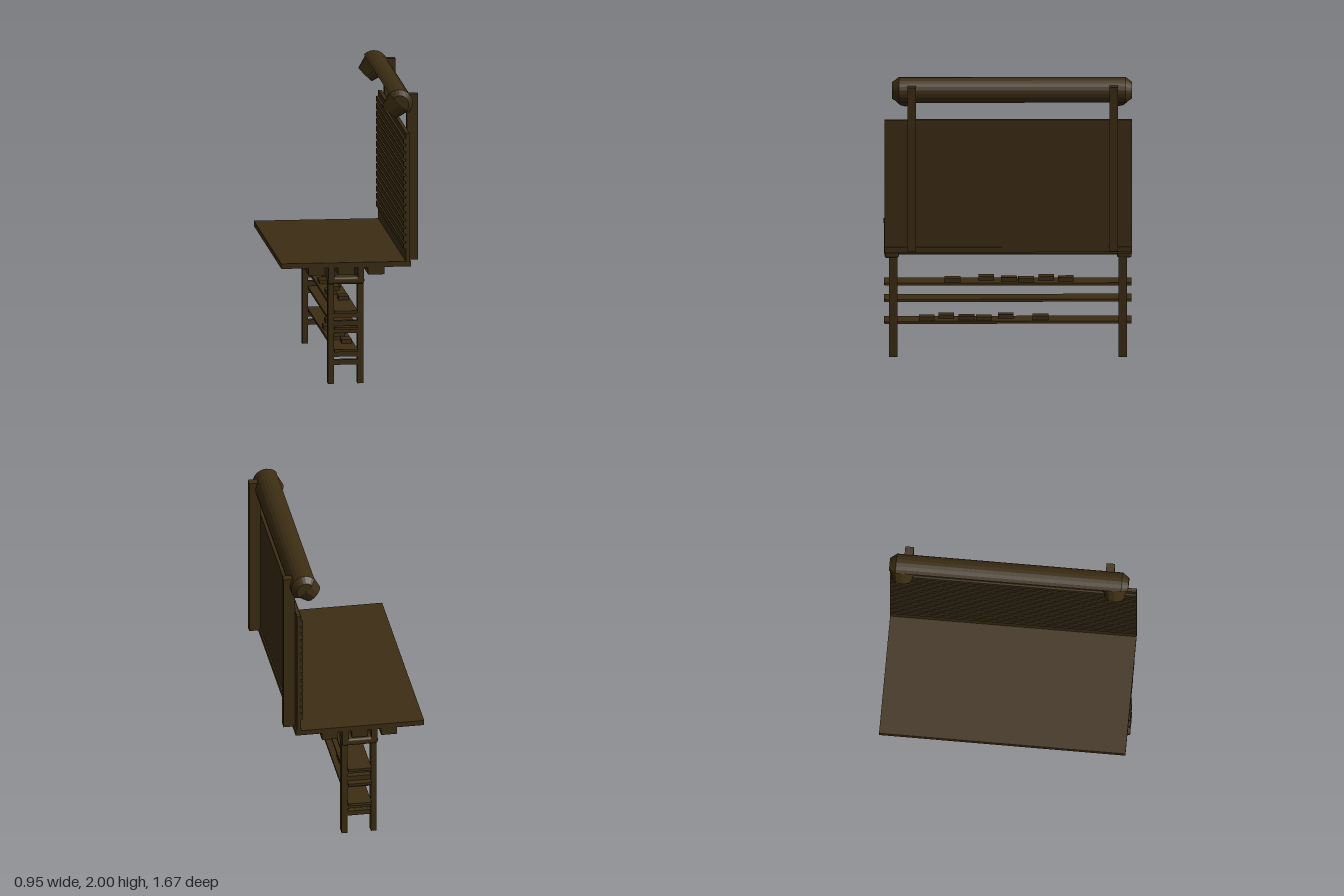
import * as THREE from 'three';
import { RoundedBoxGeometry } from 'three/addons/geometries/RoundedBoxGeometry.js';

const wood = new THREE.MeshStandardMaterial({ color: 0x3d2e14, flatShading: true, side: THREE.DoubleSide });

export function createModel() {
  const model = new THREE.Group();
  model.name = 'workbench';

  const add = (name, geometry, parent = model) => {
    const mesh = new THREE.Mesh(geometry, wood);
    mesh.name = name;
    parent.add(mesh);
    return mesh;
  };
  // Box given by its limits on each axis
  const box = (name, [x0, x1], [y0, y1], [z0, z1]) => {
    const mesh = add(name, new THREE.BoxGeometry(x1 - x0, y1 - y0, z1 - z0));
    mesh.position.set((x0 + x1) / 2, (y0 + y1) / 2, (z0 + z1) / 2);
    return mesh;
  };
  const full = [-0.835, 0.835];
  const legSpans = [[-0.155, -0.115], [0.045, 0.085]];

  // Table top and the long joists under it
  box('tableTop', [-0.475, 0.405], [0.8, 0.835], full);
  for (const x of [-0.235, -0.035, 0.17]) box('joist', [x - 0.055, x + 0.055], [0.75, 0.8], full);

  // Legs and the long aprons that join them
  for (const span of legSpans) {
    box('apron', span, [0.71, 0.8], full);
    for (const z of [-0.775, 0.775]) box('leg', span, [0, 0.8], [z - 0.028, z + 0.028]);
  }

  // Rounded end blocks and ladder rungs between the legs
  for (const z of [-0.775, 0.775]) {
    const block = add('endBlock', new RoundedBoxGeometry(0.25, 0.05, 0.1, 3, 0.018));
    block.position.set(-0.035, 0.71, Math.sign(z) * 0.785);
    for (const y of [0.145, 0.2, 0.362, 0.412, 0.468]) {
      box('rung', [-0.115, 0.045], [y - 0.017, y + 0.017], [z - 0.02, z + 0.02]);
    }
  }

  // Shelves
  for (const y of [0.23, 0.382, 0.495]) box('shelf', [-0.115, 0.045], [y - 0.009, y + 0.009], full);

  // Small blocks stored on the shelves
  const stored = [
    [0.518, [0.374, 0.146, -0.007, -0.123, -0.26, -0.39]],
    [0.252, [0.548, 0.416, 0.279, 0.162, 0.014, -0.22]],
  ];
  for (const [y, places] of stored) {
    places.forEach((z, i) => {
      const x = -0.035 + [0.03, -0.03, 0.01][i % 3];
      box('storedBlock', [x - 0.035, x + 0.035], [y - 0.014, y + 0.014], [z - 0.053, z + 0.053]);
    });
  }

  // Back panel with horizontal slats
  box('backPanel', [0.37, 0.395], [0.835, 1.715], full);
  for (let i = 0; i < 15; i++) {
    const y = 0.94 + i * 0.0512;
    box('slat', [0.355, 0.37], [y - 0.018, y + 0.018], full);
  }

  // Uprights
  for (const z of [-0.712, 0.652]) box('upright', [0.395, 0.472], [0.82, 1.955], [z - 0.029, z + 0.029]);

  // Lamp: half-round hood, open towards the table top
  const lamp = new THREE.Group();
  lamp.name = 'lamp';
  lamp.position.set(0.335, 1.902, -0.026);
  lamp.rotation.z = -Math.PI / 4; // local +y points up and away from the table
  model.add(lamp);
  const r = 0.094;
  const halfTube = (name, rFront, rBack, length, z) => {
    const geometry = new THREE.CylinderGeometry(rFront, rBack, length, 12, 1, rFront === rBack, Math.PI / 2, Math.PI);
    geometry.rotateX(Math.PI / 2);
    add(name, geometry, lamp).position.z = z;
  };
  halfTube('lampHood', r, r, 1.53, 0);
  halfTube('hoodEnd', r * 0.65, r, 0.045, 0.7875);
  halfTube('hoodEnd', r, r * 0.65, 0.045, -0.7875);
  // Tapered cups at both ends of the hood
  for (const s of [-1, 1]) {
    const cup = add('lampCup', new THREE.CylinderGeometry(r * 0.97, 0.066, 0.09, 12), lamp);
    cup.position.set(0, -0.045, s * 0.72);
  }
  return model;
}
